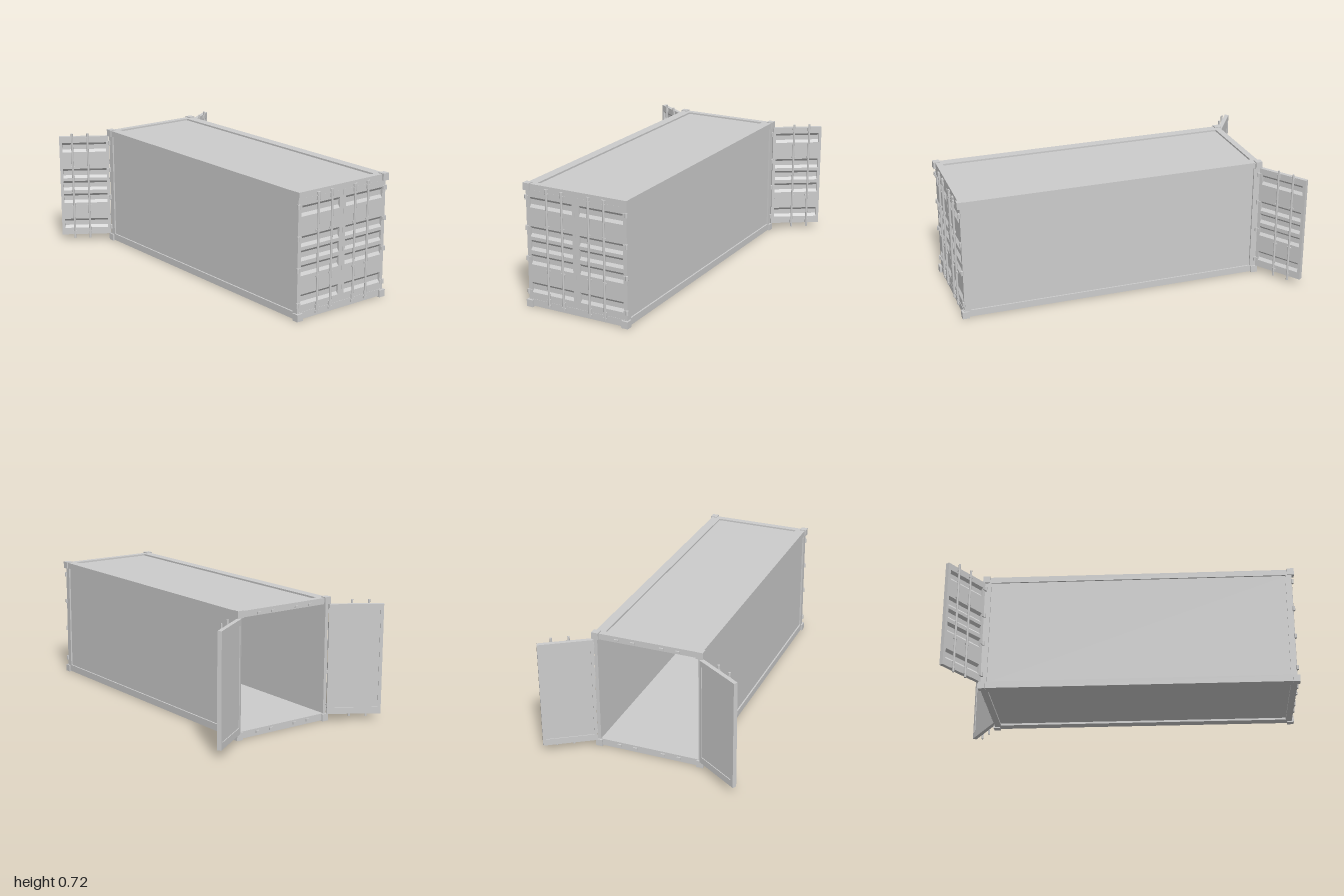
import * as THREE from 'three';

const steel = new THREE.MeshStandardMaterial({ color: 0xcccccc });
steel.name = 'grey steel';

// Box given by its limits on each axis
function block(parent, name, x0, x1, y0, y1, z0, z1) {
  const g = new THREE.BoxGeometry(Math.abs(x1 - x0), y1 - y0, z1 - z0);
  const m = new THREE.Mesh(g, steel);
  m.position.set((x0 + x1) / 2, (y0 + y1) / 2, (z0 + z1) / 2);
  m.name = name;
  parent.add(m);
  return m;
}

function rod(parent, name, x, z, y0, y1, r) {
  const m = new THREE.Mesh(new THREE.CylinderGeometry(r, r, y1 - y0, 12), steel);
  m.position.set(x, (y0 + y1) / 2, z);
  m.name = name;
  parent.add(m);
}

const DOOR = { w: 0.308, y0: 0.042, y1: 0.679, t: 0.024 };
const PANEL = { u0: 0.018, u1: 0.29, y0: 0.08, y1: 0.645 };
const GROOVES = [0.085, 0.25, 0.333, 0.412, 0.58]; // lower edge of each groove
const RODS = [0.132, 0.228];

// Pressed door sheet: horizontal trapezoid grooves in profile, extruded sideways
function grooveSheet() {
  const s = new THREE.Shape();
  s.moveTo(0.019, PANEL.y0);
  s.lineTo(0.019, PANEL.y1);
  s.lineTo(0, PANEL.y1);
  for (const y of [...GROOVES].reverse()) {
    s.lineTo(0, y + 0.06);
    s.lineTo(0.014, y + 0.045);
    s.lineTo(0.014, y + 0.016);
    s.lineTo(0, y);
  }
  s.lineTo(0, PANEL.y0);
  s.closePath();
  const w = PANEL.u1 - PANEL.u0;
  const g = new THREE.ExtrudeGeometry(s, { depth: w, bevelEnabled: false });
  g.translate(0, 0, -w / 2);
  g.rotateY(Math.PI / 2);
  return g;
}

// Door hinged at local x = 0, reaching towards side s, outer face at local z = 0
function door(name, s) {
  const d = new THREE.Group();
  d.name = name;
  const { w, y0, y1, t } = DOOR, p = PANEL;
  block(d, 'hingeStile', 0, s * p.u0, y0, y1, -t, 0);
  block(d, 'outerStile', s * p.u1, s * w, y0, y1, -t, 0);
  block(d, 'bottomRail', s * p.u0, s * p.u1, y0, p.y0, -t, 0);
  block(d, 'topRail', s * p.u0, s * p.u1, p.y1, y1, -t, 0);
  const sheet = new THREE.Mesh(grooveSheet(), steel);
  sheet.name = 'groovedSheet';
  sheet.position.x = s * (p.u0 + p.u1) / 2;
  d.add(sheet);
  // Locking rods with guides
  for (const u of RODS) {
    rod(d, 'lockingRod', s * u, 0.007, 0.02, 0.7, 0.0065);
    for (const y of [0.23, 0.485])
      block(d, 'rodGuide', s * u - 0.013, s * u + 0.013, y - 0.005, y + 0.005, 0, 0.008);
    for (const y of [0.055, 0.665])
      block(d, 'rodBearing', s * u - 0.01, s * u + 0.01, y - 0.011, y + 0.011, 0, 0.01);
  }
  // Hinges
  for (const y of [0.088, 0.285, 0.462, 0.637]) {
    block(d, 'hingeLeaf', -s * 0.004, s * 0.016, y - 0.01, y + 0.01, -0.01, 0.006);
    rod(d, 'hingePin', -s * 0.004, 0.003, y - 0.013, y + 0.013, 0.008);
  }
  return d;
}

export function createModel() {
  const model = new THREE.Group();
  model.name = 'shippingContainer';
  const X = 0.317, ZF = 0.987, ZB = -0.815;

  // Roof and floor, set in from the frame
  block(model, 'roof', -0.26, 0.26, 0.685, 0.705, ZB + 0.038, 0.95);
  block(model, 'floor', -0.26, 0.26, 0.017, 0.045, ZB + 0.038, 0.95);

  for (const s of [-1, 1]) {
    // Long rails, walls and posts
    block(model, 'topSideRail', s * 0.26, s * X, 0.68, 0.715, ZB, ZF);
    block(model, 'bottomSideRail', s * 0.26, s * X, 0.005, 0.045, ZB, ZF);
    block(model, 'sideWall', s * 0.296, s * 0.308, 0.045, 0.68, ZB + 0.038, 0.95);
    block(model, 'frontPost', s * 0.292, s * X, 0.045, 0.68, 0.95, 0.962);
    block(model, 'frontPostEdge', s * 0.312, s * X, 0.045, 0.68, 0.962, 0.985);
    block(model, 'backPost', s * 0.296, s * X, 0.045, 0.68, ZB, ZB + 0.038);

    // Corner castings
    for (const y of [0, 0.679])
      for (const z of [0.96, -0.825])
        block(model, 'cornerCasting', s * 0.286, s * 0.326, y, y + 0.041, z, z + 0.04);

    // Rod keepers on both end frames
    for (const x of [0.084, 0.18])
      for (const y of [0.027, 0.693])
        for (const z of [ZF, ZB])
          block(model, 'rodKeeper', s * x - 0.012, s * x + 0.012, y - 0.007, y + 0.007, z - 0.008, z + 0.008);

    // Closed front doors
    const front = door('frontDoor', -s);
    front.position.set(s * 0.312, 0, 0.985);
    model.add(front);

    // Open back doors
    const back = door('backDoor', s);
    back.position.set(s * 0.322, 0, -0.812);
    back.rotation.y = s * 0.58;
    model.add(back);
  }

  // Cross beams of the end frames
  for (const [z0, z1] of [[0.95, ZF], [ZB, ZB + 0.038]]) {
    block(model, 'topCrossBeam', -0.26, 0.26, 0.68, 0.715, z0, z1);
    block(model, 'bottomCrossBeam', -0.26, 0.26, 0.005, 0.045, z0, z1);
  }
  // Seal closing the gap between the front doors
  block(model, 'doorSeal', -0.008, 0.008, 0.045, 0.68, 0.966, 0.984);
  return model;
}
